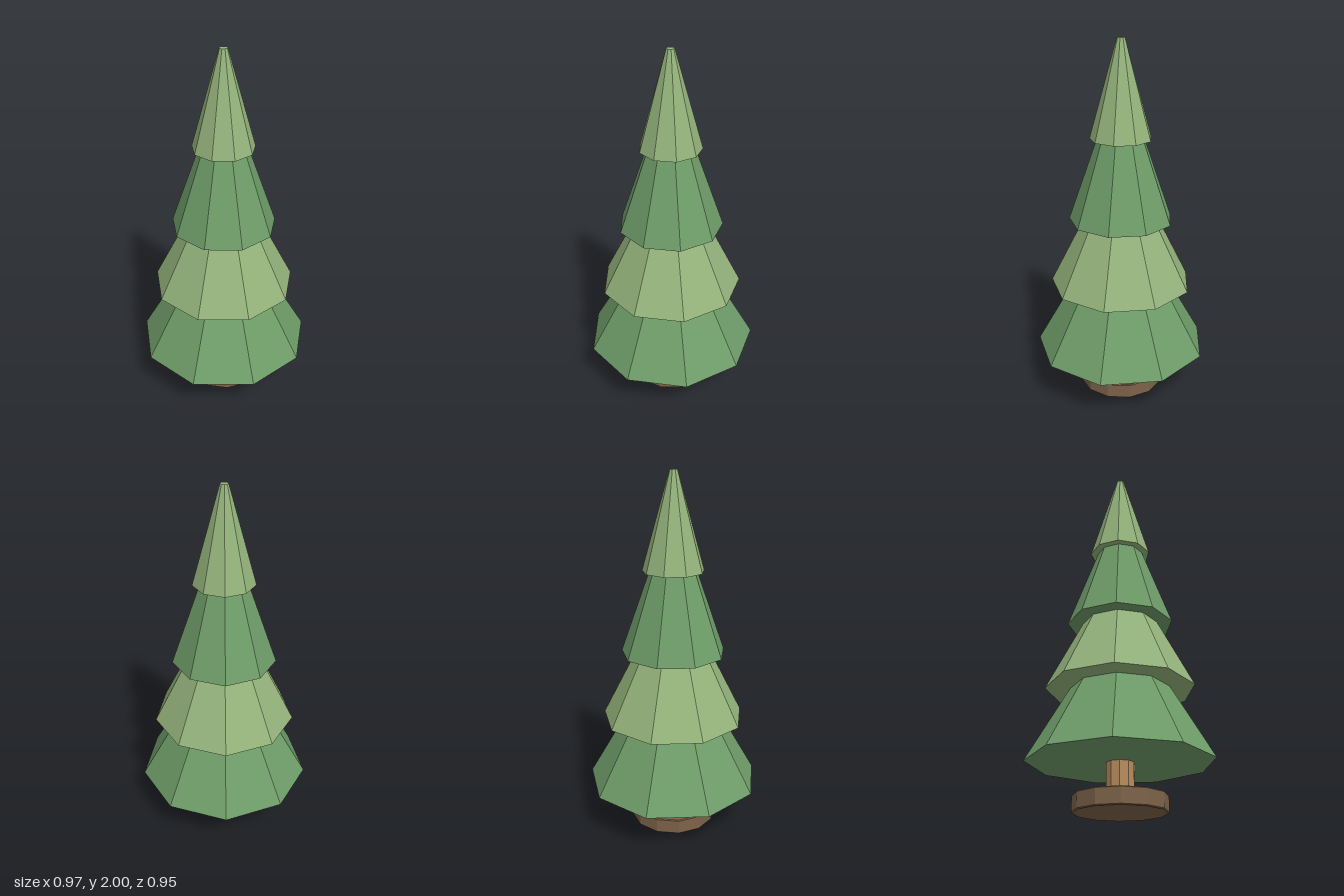
import * as THREE from 'three';

const AXIS_Z = 0.014; // centres the nine-sided outline on z = 0

export function createModel() {
  const tree = new THREE.Group();
  tree.name = 'tree';

  const material = (color) => new THREE.MeshStandardMaterial({ color, flatShading: true });
  const darkGreen = material(0x6f9d69);
  const lightGreen = material(0x95b47c);
  const wood = material(0xb88d60);
  const darkWood = material(0x7d6349);

  // Faceted frustum standing between two heights
  function frustum(name, rBottom, rTop, y0, y1, sides, turn, mat) {
    const geometry = new THREE.CylinderGeometry(rTop, rBottom, y1 - y0, sides);
    geometry.rotateY(turn);
    const mesh = new THREE.Mesh(geometry, mat);
    mesh.name = name;
    mesh.position.set(0, (y0 + y1) / 2, AXIS_Z);
    tree.add(mesh);
  }

  // Round stand with a narrow chamfer at top and bottom
  const profile = [[0, 0], [0.238, 0], [0.243, 0.005], [0.243, 0.083], [0.238, 0.088], [0, 0.088]];
  const standGeometry = new THREE.LatheGeometry(profile.map(([r, y]) => new THREE.Vector2(r, y)), 12);
  standGeometry.rotateY(Math.PI / 12);
  const stand = new THREE.Mesh(standGeometry, darkWood);
  stand.name = 'stand';
  stand.position.z = AXIS_Z;
  tree.add(stand);

  // Trunk
  frustum('trunk', 0.074, 0.074, 0.08, 0.26, 10, Math.PI / 10, wood);

  // Foliage tiers: bottom radius, top radius, bottom y, top y; a corner points to the back
  const tiers = [
    [0.49, 0.265, 0.25, 0.645],
    [0.4, 0.205, 0.64, 1.025],
    [0.29, 0.128, 1.02, 1.48],
    [0.17, 0.022, 1.475, 2],
  ];
  tiers.forEach(([rBottom, rTop, y0, y1], i) => {
    frustum(`foliageTier${i + 1}`, rBottom, rTop, y0, y1, 9, Math.PI, i % 2 ? lightGreen : darkGreen);
  });

  return tree;
}
